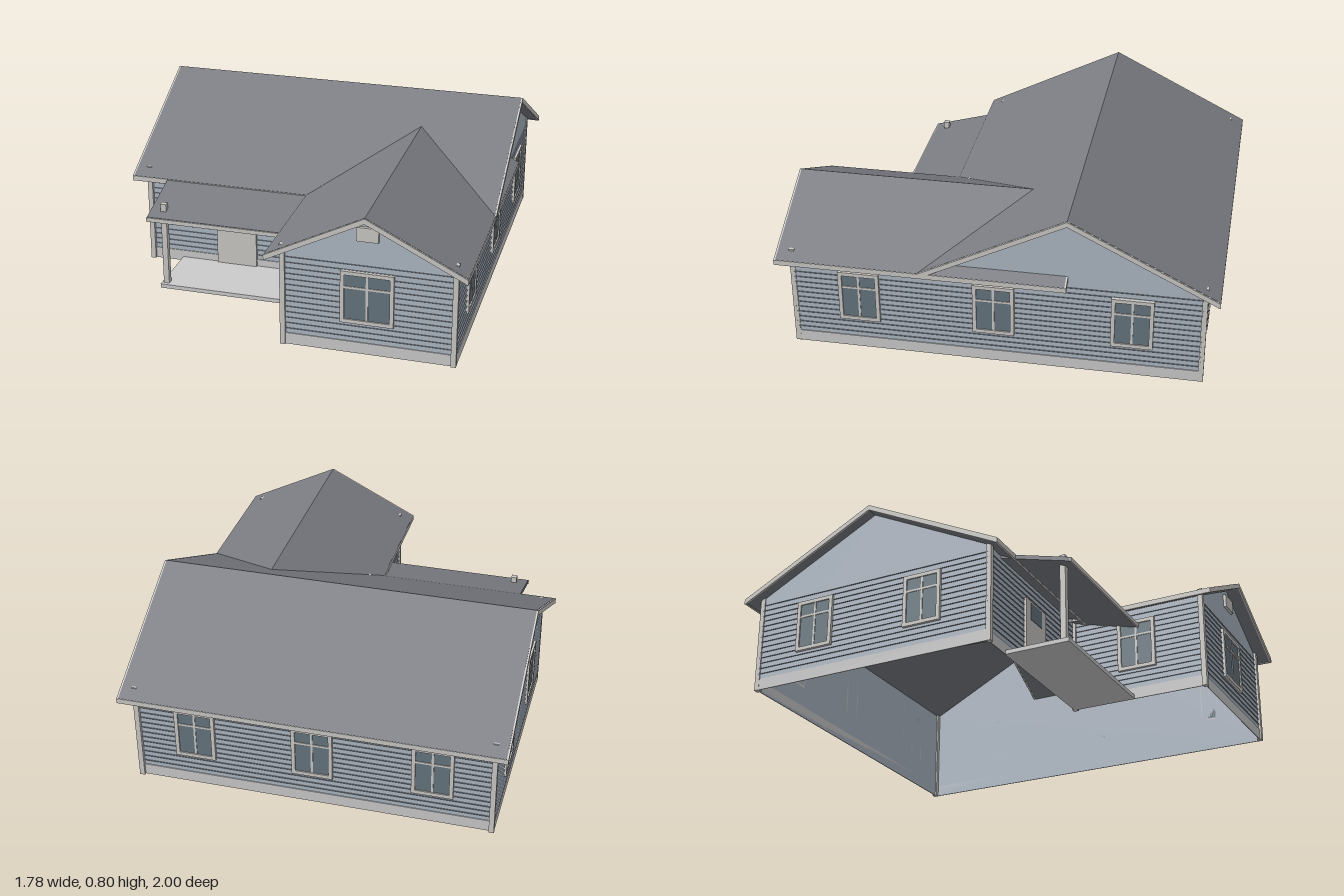
import * as THREE from 'three';

const paint = (color) => new THREE.MeshStandardMaterial({ color, side: THREE.DoubleSide });

export function createModel() {
  const house = new THREE.Group();
  house.name = 'house';
  const siding = paint(0xaeb8c4), lap = paint(0x8c96a1), trim = paint(0xcccac6);
  const roofing = paint(0x7a7c82), glass = paint(0x66757f), base = paint(0xc4c4c2);

  const add = (parent, name, geometry, material, x = 0, y = 0, z = 0) => {
    const mesh = new THREE.Mesh(geometry, material);
    mesh.name = name;
    mesh.position.set(x, y, z);
    parent.add(mesh);
    return mesh;
  };
  // box given by its min and max corners
  const box = (parent, name, material, x0, x1, y0, y1, z0, z1) =>
    add(parent, name, new THREE.BoxGeometry(x1 - x0, y1 - y0, z1 - z0), material,
      (x0 + x1) / 2, (y0 + y1) / 2, (z0 + z1) / 2);
  const polygon = (points) => new THREE.Shape(points.map(([x, y]) => new THREE.Vector2(x, y)));

  // framed window with a cross of glazing bars, on a wall facing local +z
  const addWindow = (wall, u, w) => {
    const g = new THREE.Group();
    g.name = 'window';
    g.position.x = u;
    wall.add(g);
    const h = w / 2, f = 0.018, y0 = 0.15, y1 = 0.4;
    box(g, 'glass', glass, -h + f, h - f, y0 + f, y1 - f, 0, 0.008);
    for (const s of [-1, 1]) {
      const c = s * (h - f / 2);
      box(g, 'frameSide', trim, c - f / 2, c + f / 2, y0, y1, 0, 0.014);
    }
    box(g, 'sill', trim, -h + f, h - f, y0, y0 + f, 0, 0.014);
    box(g, 'frameHead', trim, -h + f, h - f, y1 - f, y1, 0, 0.014);
    box(g, 'verticalBar', trim, -0.005, 0.005, y0 + f, y1 - f, 0, 0.011);
    box(g, 'horizontalBar', trim, -h + f, h - f, 0.317, 0.327, 0, 0.011);
  };

  // wall panel with foundation strip, lap lines and windows; u runs along the wall
  const addWall = (name, outline, x, z, angle, windows, width = 0.19) => {
    const wall = new THREE.Group();
    wall.name = name;
    wall.position.set(x, 0, z);
    wall.rotation.y = angle;
    house.add(wall);
    const us = outline.map((p) => p[0]);
    const u0 = Math.min(...us), u1 = Math.max(...us);
    add(wall, 'wallPanel', new THREE.ShapeGeometry(polygon(outline)), siding);
    box(wall, 'foundation', base, u0, u1, 0, 0.055, 0, 0.004);
    for (let y = 0.08; y < 0.45; y += 0.027) {
      const strip = new THREE.PlaneGeometry(u1 - u0, 0.006).rotateX(-Math.PI / 2);
      add(wall, 'sidingLap', strip, lap, (u0 + u1) / 2, y, 0.003);
    }
    windows.forEach((u) => addWindow(wall, u, width));
    return wall;
  };

  const rect = (a, b, h) => [[a, 0], [b, 0], [b, h], [a, h]];
  const Q = Math.PI / 2;
  addWall('rightWall', [[-0.93, 0], [0.93, 0], [0.93, 0.468], [0.33, 0.772], [-0.27, 0.468], [-0.93, 0.462]],
    0.83, 0, Q, [-0.625, -0.005, 0.62]);
  addWall('leftWall', [[-0.93, 0], [0.27, 0], [0.27, 0.468], [-0.33, 0.772], [-0.93, 0.468]],
    -0.83, 0, -Q, [-0.63, -0.06]);
  addWall('backWall', rect(-0.83, 0.83, 0.468), 0, -0.93, Math.PI, [-0.55, 0, 0.55]);
  addWall('wingSideWall', rect(0.27, 0.93, 0.462), 0.05, 0, -Q, [0.6]);
  const wingFront = addWall('wingFrontWall',
    [[0.05, 0], [0.83, 0], [0.83, 0.462], [0.437, 0.659], [0.05, 0.462]], 0, 0.93, 0, [0.435], 0.24);
  box(wingFront, 'gableVent', trim, 0.385, 0.485, 0.55, 0.615, 0, 0.014);

  // porch wall with the front door
  const porchWall = addWall('porchWall', rect(-0.83, 0.05, 0.468), 0, 0.27, 0, []);
  box(porchWall, 'door', trim, -0.485, -0.285, 0.02, 0.36, 0, 0.014);
  box(porchWall, 'doorGlass', glass, -0.44, -0.33, 0.265, 0.35, 0.01, 0.016);

  // corner boards, their tops just showing through the roof
  const corners = [[-0.823, -0.934], [0.823, -0.934], [-0.823, 0.274], [0.052, 0.274], [0.052, 0.93], [0.823, 0.93]];
  for (const [x, z] of corners)
    box(house, 'cornerBoard', trim, x - 0.012, x + 0.012, 0, 0.492, z - 0.012, z + 0.012);

  // gabled roof along local z from z0 to z1, with rake and eave trim
  const addRoof = (name, h, eave, ridge, z0, z1, leftEaveStart) => {
    const g = new THREE.Group();
    g.name = name;
    house.add(g);
    const t = 0.025, e = 0.008;
    const shape = polygon([[-h, eave], [-h, eave - t], [0, ridge - t], [h, eave - t], [h, eave], [0, ridge]]);
    const slab = (depth) => new THREE.ExtrudeGeometry(shape, { depth, bevelEnabled: false });
    add(g, 'roofSlab', slab(z1 - z0 - 2 * e), roofing, 0, 0, z0 + e);
    for (const z of [z0, z1 - e]) add(g, 'rakeTrim', slab(e), trim, 0, -0.001, z);
    box(g, 'eaveTrim', trim, -h - 0.002, -h + e, eave - t, eave - 0.001, leftEaveStart, z1);
    box(g, 'eaveTrim', trim, h - e, h + 0.002, eave - t, eave - 0.001, z0, z1);
    return g;
  };
  const mainRoof = addRoof('mainRoof', 0.67, 0.46, 0.797, -0.888, 0.888, -0.888);
  mainRoof.rotation.y = Q;
  mainRoof.position.z = -0.33;
  addRoof('wingRoof', 0.448, 0.46, 0.685, -0.33, 1, 0.3).position.x = 0.436;

  // porch: slab, post, sloping roof and fascia
  box(house, 'porchFloor', base, -0.67, 0.05, 0, 0.02, 0.27, 0.58);
  box(house, 'porchPost', trim, -0.66, -0.633, 0.02, 0.43, 0.535, 0.562);
  const porchShape = polygon([[-0.27, 0.476], [-0.27, 0.456], [-0.611, 0.36], [-0.611, 0.38]]);
  const porchRoof = add(house, 'porchRoof',
    new THREE.ExtrudeGeometry(porchShape, { depth: 0.758, bevelEnabled: false }), roofing, -0.71);
  porchRoof.rotation.y = Q;
  box(house, 'porchFascia', trim, -0.713, 0.045, 0.358, 0.378, 0.608, 0.616);

  return house;
}
